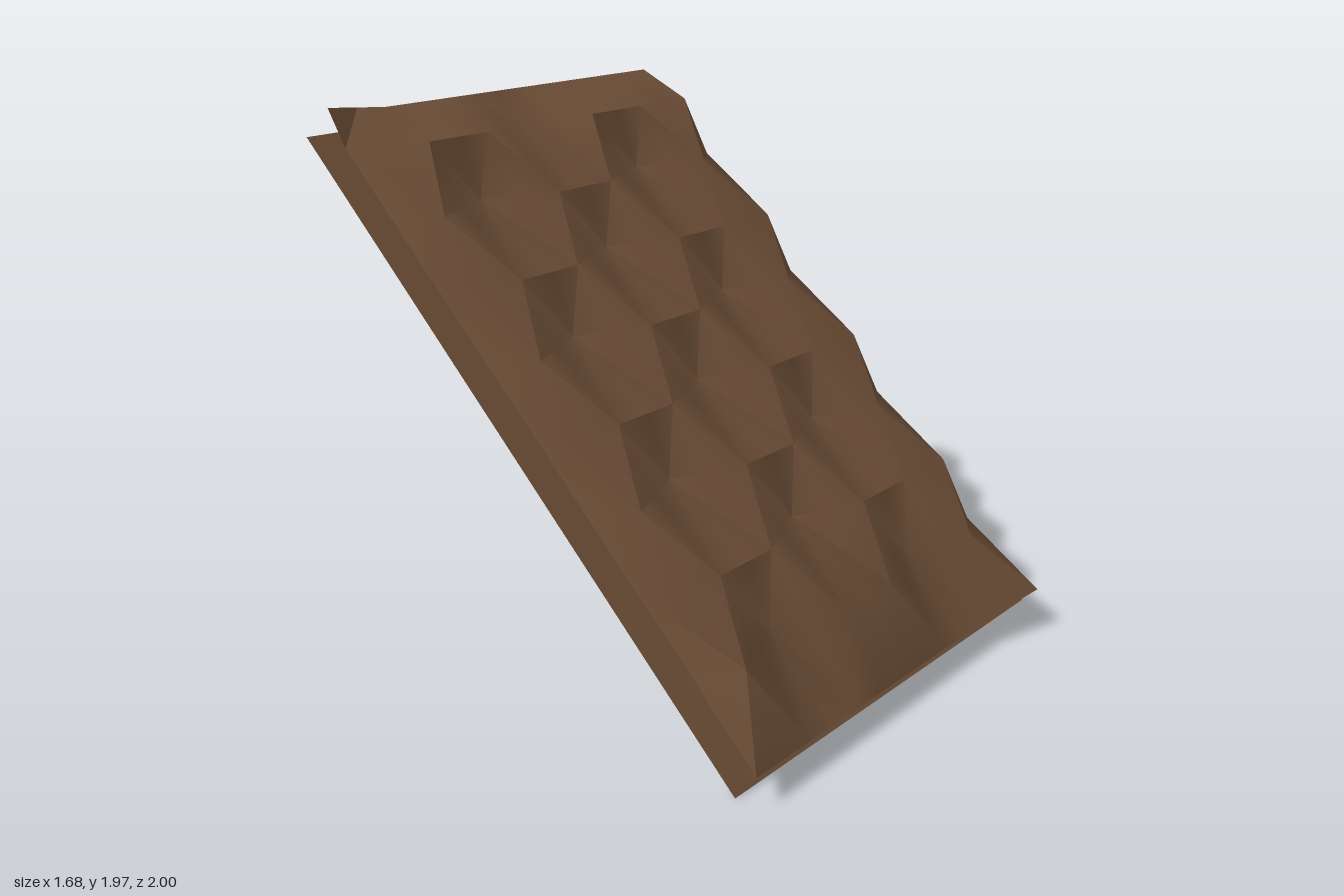
import * as THREE from 'three';
import { toCreasedNormals } from 'three/addons/utils/BufferGeometryUtils.js';

const HALF = 0.84, COLUMNS = 12, ROWS = 8;
// Low, halfway and high planes of the 45 degree slope, each given as y + z
const L = 1.03, M = 1.09, H = 1.145;

// Level profiles across the roof, alternating from row to row:
// flat crests of one row stand above the valleys of the next
const EVEN = [1.04, M, H, H, H, M, L, M, H, H, H, H, H];
const ODD = [1.04, H, M, L, M, H, H, H, M, L, M, H, 1.05];

// Turn a profile at height y into points; lift gives extra height per column
const rowPoints = (profile, y, lift = () => 0) => profile.map((c, k) => {
  const h = y + lift(k);
  return [-HALF + (2 * HALF * k) / COLUMNS, h, c - h];
});

function meshFrom(name, positions, material) {
  let g = new THREE.BufferGeometry();
  g.setAttribute('position', new THREE.Float32BufferAttribute(positions, 3));
  g = toCreasedNormals(g, 0.5);
  const mesh = new THREE.Mesh(g, material);
  mesh.name = name;
  return mesh;
}

export function createModel() {
  const group = new THREE.Group();
  group.name = 'roofSlope';
  const brown = new THREE.MeshStandardMaterial({ color: 0x6f5038, side: THREE.DoubleSide });

  // Top edge with its left corner lifted, tile rows, bottom edge with its right corner lifted
  const flat = Array(COLUMNS + 1).fill(L);
  const rows = [rowPoints([M, 1.06, ...flat.slice(2)], 1.94, (k) => Math.max(0, 0.03 - 0.015 * k))];
  for (let i = 0; i < ROWS; i++) rows.push(rowPoints(i % 2 ? ODD : EVEN, 1.84 - 0.2114 * i));
  rows.push(rowPoints([...flat.slice(2), M, 1.15], 0.1, (k) => Math.max(0, 0.025 * (k - 10))));

  // Facets between rows, with diagonals running from crest to valley
  const tiles = [];
  for (let i = 0; i + 1 < rows.length; i++) {
    for (let k = 0; k < COLUMNS; k++) {
      const a = rows[i][k], b = rows[i][k + 1], c = rows[i + 1][k], d = rows[i + 1][k + 1];
      const facets = (i + k) % 2 ? [a, c, d, a, d, b] : [a, c, b, b, c, d];
      tiles.push(...facets.flat());
    }
  }
  group.add(meshFrom('roofTiles', tiles, brown));

  // Slightly twisted board below, facing down and back
  const a = [-HALF, 0, 0.85], b = [HALF, 0.09, 0.94], c = [HALF, 1.86, -1], d = [-HALF, 1.86, -1];
  group.add(meshFrom('roofUnderside', [a, c, b, a, d, c].flat(), brown));
  return group;
}
